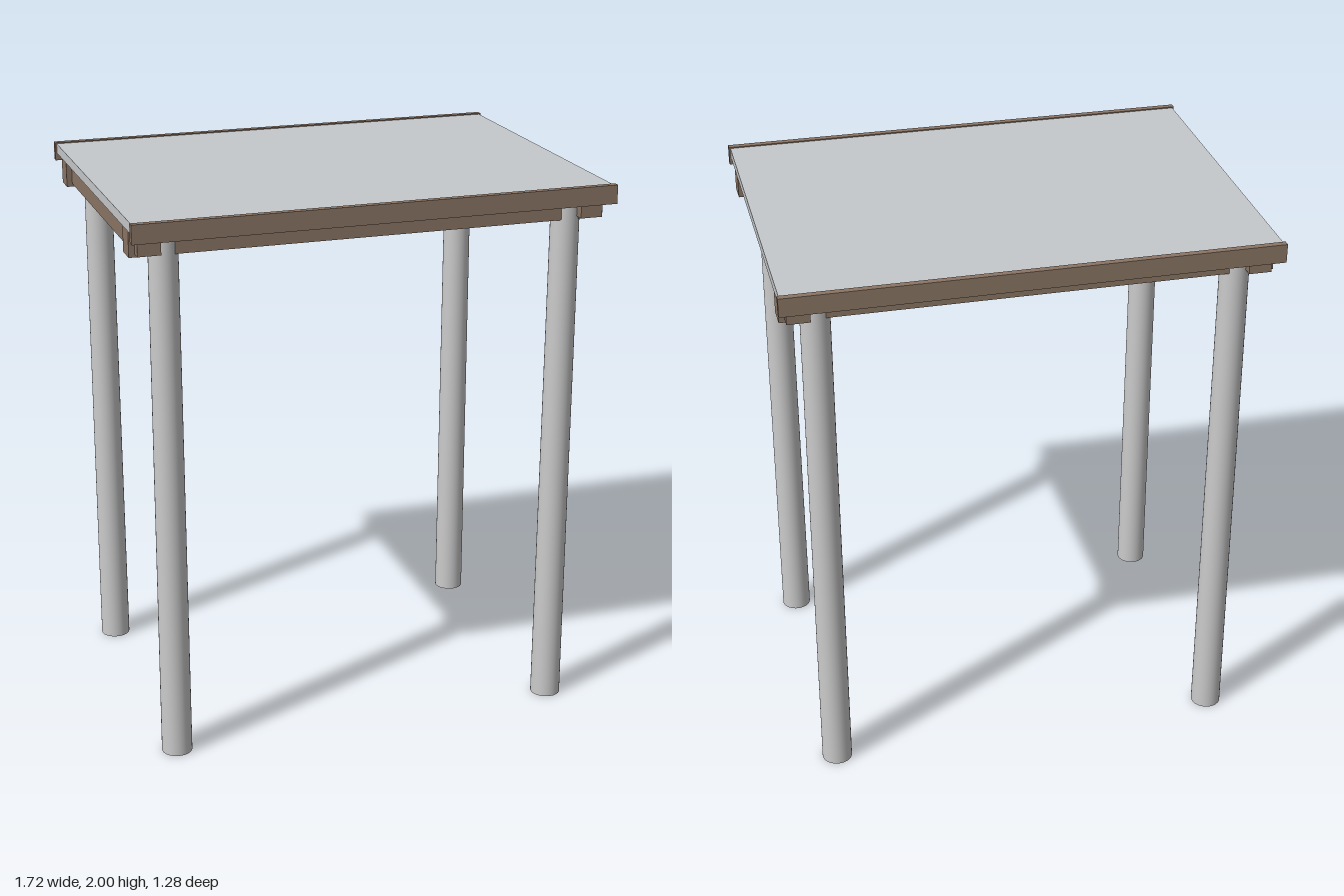
import * as THREE from 'three';

export function createModel() {
  const model = new THREE.Group();
  model.name = 'canopy';

  const wood = new THREE.MeshStandardMaterial({ color: 0x8b7565 });
  wood.name = 'brown timber';
  const metal = new THREE.MeshStandardMaterial({ color: 0xcbcbcb });
  metal.name = 'grey post';
  const sheet = new THREE.MeshStandardMaterial({ color: 0xc6c9cb });
  sheet.name = 'pale roof sheet';

  function add(name, geometry, material, x, y, z) {
    const mesh = new THREE.Mesh(geometry, material);
    mesh.name = name;
    mesh.position.set(x, y, z);
    model.add(mesh);
  }

  // Box given by its centre in x and z, and its bottom and top heights
  function addBox(name, material, width, depth, bottom, top, x, z) {
    const geometry = new THREE.BoxGeometry(width, top - bottom, depth);
    add(name, geometry, material, x, (bottom + top) / 2, z);
  }

  // Round posts, slightly tapered, let into the beams at the top
  const postHeight = 1.955;
  const post = new THREE.CylinderGeometry(0.051, 0.055, postHeight, 32);
  for (const x of [-0.725, 0.725]) {
    for (const z of [-0.505, 0.505]) {
      add('post', post, metal, x, postHeight / 2, z);
    }
  }

  for (const s of [-1, 1]) {
    // Long beams along x, crossing the side beams near their ends
    addBox('longBeam', wood, 1.7, 0.08, 1.865, 1.96, 0, s * 0.505);
    // Side beams along z, just outside the post centres
    addBox('sideBeam', wood, 0.08, 1.17, 1.876, 1.959, s * 0.79, 0);
    // Fascia boards along the front and back roof edges
    addBox('fascia', wood, 1.72, 0.024, 1.933, 2, 0, s * 0.626);
  }

  // Flat roof sheet between the fascias
  addBox('roofSheet', sheet, 1.708, 1.228, 1.96, 1.996, 0, 0);

  return model;
}
